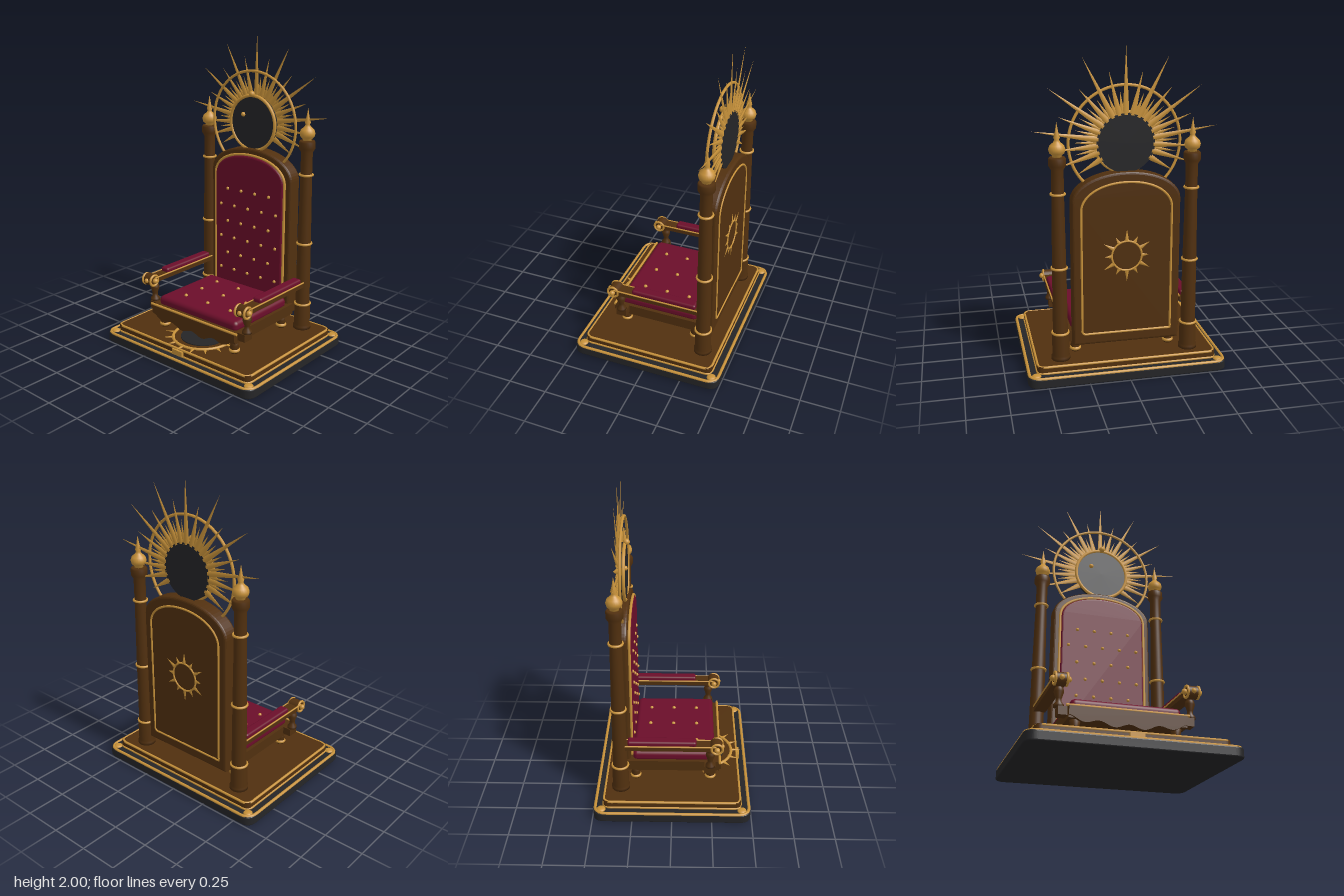
import * as THREE from 'three';
import { RoundedBoxGeometry } from 'three/addons/geometries/RoundedBoxGeometry.js';

export function createModel() {
  const root = new THREE.Group();
  root.name = 'throne';
  const material = (name, color) => {
    const m = new THREE.MeshStandardMaterial({ color });
    m.name = name;
    return m;
  };
  const gold = material('gold', 0xc8923a);
  const wood = material('dark wood', 0x51300f);
  const velvet = material('crimson velvet', 0x6b0e2a);
  const black = material('black stone', 0x252527);

  const add = (name, geo, mat, x = 0, y = 0, z = 0, parent = root) => {
    const m = new THREE.Mesh(geo, mat);
    m.name = name;
    m.position.set(x, y, z);
    parent.add(m);
    return m;
  };
  const lathe = (pts, seg = 24) => new THREE.LatheGeometry(pts.map(p => new THREE.Vector2(p[0], p[1])), seg);
  const ball = r => new THREE.SphereGeometry(r, 16, 12);
  const extrude = (shape, depth, bevel = 0) => new THREE.ExtrudeGeometry(shape, {
    depth: depth - 2 * bevel, bevelEnabled: bevel > 0, bevelSize: bevel, bevelOffset: -bevel,
    bevelThickness: bevel, bevelSegments: 3, curveSegments: 16,
  }).translate(0, 0, bevel);

  // Outline helpers
  const roundRect = (w, h, r) => new THREE.Shape()
    .moveTo(-w + r, -h).lineTo(w - r, -h).quadraticCurveTo(w, -h, w, -h + r)
    .lineTo(w, h - r).quadraticCurveTo(w, h, w - r, h)
    .lineTo(-w + r, h).quadraticCurveTo(-w, h, -w, h - r)
    .lineTo(-w, -h + r).quadraticCurveTo(-w, -h, -w + r, -h);
  const arch = (w, y0, ys, yt) => new THREE.Shape()
    .moveTo(-w, y0).lineTo(w, y0).lineTo(w, ys)
    .bezierCurveTo(w, ys + 0.09, w * 0.6, yt, 0, yt)
    .bezierCurveTo(-w * 0.6, yt, -w, ys + 0.09, -w, ys).lineTo(-w, y0);
  const piping = (shape, r) => {
    const pts = shape.getSpacedPoints(100).slice(0, -1).map(p => new THREE.Vector3(p.x, p.y, 0));
    return new THREE.TubeGeometry(new THREE.CatmullRomCurve3(pts, true), 200, r, 8, true);
  };
  // Flattened spike pointing outwards from the centre, angle measured from up
  const ray = (parent, deg, r0, r1, w, thick = 0.35) => {
    const g = new THREE.ConeGeometry(w, r1 - r0, 6).translate(0, (r0 + r1) / 2, 0).scale(1, 1, thick);
    const m = add('ray', g, gold, 0, 0, 0, parent);
    m.rotation.z = -deg * Math.PI / 180;
  };
  const group = (name, x, y, z) => {
    const g = new THREE.Group();
    g.name = name;
    g.position.set(x, y, z);
    root.add(g);
    return g;
  };

  // Stepped base
  const flat = g => g.rotateX(-Math.PI / 2);
  add('plinth', flat(extrude(roundRect(0.62, 0.495, 0.07), 0.06, 0.008)), black);
  add('plinthTrim', flat(piping(roundRect(0.61, 0.485, 0.07), 0.01)), gold, 0, 0.058);
  add('platform', flat(extrude(roundRect(0.56, 0.435, 0.04), 0.055)), wood, 0, 0.055);
  add('platformLowerTrim', flat(piping(roundRect(0.56, 0.435, 0.04), 0.007)), gold, 0, 0.066);
  add('platformTrim', flat(piping(roundRect(0.555, 0.43, 0.04), 0.008)), gold, 0, 0.105);
  add('frontPlaque', new THREE.BoxGeometry(0.085, 0.035, 0.02), gold, 0, 0.085, 0.44);
  for (const x of [-0.57, 0.57]) for (const z of [-0.445, 0.44])
    add('cornerStud', ball(0.029).scale(1, 0.45, 1), gold, x, 0.06, z);

  // Sun set into the platform
  const floorSun = group('floorSun', 0, 0.112, 0.2);
  floorSun.rotation.x = -Math.PI / 2;
  add('floorDisc', new THREE.CylinderGeometry(0.145, 0.145, 0.008, 40).rotateX(Math.PI / 2), black, 0, 0, 0, floorSun);
  add('floorRing', new THREE.TorusGeometry(0.195, 0.01, 8, 64), gold, 0, 0, 0, floorSun);
  for (let a = 90; a <= 270; a += 22.5) ray(floorSun, a, 0.185, 0.26, 0.016, 0.4);

  // Backrest
  add('backrest', extrude(arch(0.33, 0.2, 1.1, 1.275), 0.1, 0.015), wood, 0, 0, -0.37);
  add('backCushion', extrude(arch(0.28, 0.28, 1.07, 1.225), 0.03, 0.012), velvet, 0, 0, -0.28);
  add('frontPiping', piping(arch(0.287, 0.28, 1.075, 1.232), 0.009), gold, 0, 0, -0.262);
  add('rearPiping', piping(arch(0.275, 0.27, 1.05, 1.215), 0.007), gold, 0, 0, -0.37);
  for (let row = 0; row < 6; row++) {
    const n = row % 2 ? 4 : 5;
    for (let i = 0; i < n; i++)
      add('backButton', ball(0.011), gold, (i - (n - 1) / 2) * 0.115, 0.41 + row * 0.114, -0.25);
  }
  const rearSun = group('rearSun', 0, 0.76, -0.371);
  add('rearSunRing', new THREE.TorusGeometry(0.092, 0.006, 8, 40), gold, 0, 0, 0, rearSun);
  for (let i = 0; i < 12; i++) ray(rearSun, i * 30, 0.09, i % 2 ? 0.135 : 0.165, 0.015, 0.4);

  // Radiant crest
  const crest = group('crest', 0, 1.44, -0.33);
  add('crestDisc', new THREE.CylinderGeometry(0.175, 0.175, 0.045, 48).rotateX(Math.PI / 2), black, 0, 0, 0.017, crest);
  add('crestRim', new THREE.TorusGeometry(0.178, 0.011, 10, 64), gold, 0, 0, 0.036, crest);
  add('halo', new THREE.TorusGeometry(0.335, 0.009, 8, 80), gold, 0, 0, 0.028, crest);
  add('crestStud', ball(0.015), gold, -0.074, 0.05, 0.042, crest);
  add('crestBead', ball(0.02), gold, 0, 0.19, 0.048, crest);
  for (let i = -9; i <= 9; i++) {
    const k = Math.abs(i);
    ray(crest, i * 13.5, 0.165, k > 8 ? 0.34 : k % 2 || k > 6 ? 0.43 : 0.56, 0.022);
    if (k < 8) ray(crest, (i + (i < 0 ? -0.5 : 0.5)) * 13.5, 0.165, 0.31, 0.016);
  }

  // Seat
  add('seatFrame', new THREE.BoxGeometry(0.7, 0.07, 0.6), wood, 0, 0.235, 0);
  add('seatFrontTrim', new THREE.CylinderGeometry(0.008, 0.008, 0.73, 10).rotateZ(Math.PI / 2), gold, 0, 0.27, 0.303);
  add('seatCushion', new RoundedBoxGeometry(0.66, 0.07, 0.525, 5, 0.028), velvet, 0, 0.29, 0.008);
  for (const x of [-0.19, 0, 0.19]) for (const z of [-0.155, 0, 0.155])
    add('seatButton', ball(0.012), gold, x, 0.326, z);
  const apron = new THREE.Shape().moveTo(0.35, 0.265).lineTo(-0.35, 0.265);
  for (let i = 0; i <= 60; i++) {
    const x = -0.35 + i * 0.7 / 60;
    apron.lineTo(x, 0.172 + 0.012 * Math.cos(x * 36) + 0.25 * x * x);
  }
  add('apron', extrude(apron, 0.022), wood, 0, 0, 0.29);

  // Mirrored legs, columns and arms
  const leg = lathe([[0, 0], [0.022, 0], [0.03, 0.05], [0.024, 0.06], [0.034, 0.11], [0, 0.11]]);
  const column = lathe([[0, 0.11], [0.058, 0.11], [0.058, 0.13], [0.052, 0.14], [0.052, 0.27], [0.046, 0.29],
    [0.043, 0.7], [0.037, 1.15], [0.037, 1.3], [0.052, 1.325], [0.052, 1.365], [0.045, 1.375], [0, 1.375]], 28);
  const finial = lathe([[0, 0], [0.03, 0], [0.026, 0.012], [0.044, 0.028], [0.05, 0.05], [0.042, 0.073],
    [0.02, 0.092], [0.014, 0.105], [0.019, 0.118], [0.01, 0.15], [0, 0.21]]);
  const baluster = lathe([[0, 0], [0.03, 0], [0.03, 0.015], [0.018, 0.03], [0.017, 0.05], [0.03, 0.09],
    [0.026, 0.11], [0.018, 0.12], [0.028, 0.14], [0, 0.14]]);
  for (const s of [-1, 1]) {
    for (const z of [-0.24, 0.245]) {
      add('leg', leg, wood, s * 0.3, 0.1, z);
      add('footBall', ball(0.036).scale(1, 0.5, 1), gold, s * 0.3, 0.13, z);
    }
    const cx = s * 0.405, cz = -0.33;
    add('column', column, wood, cx, 0, cz);
    add('finial', finial, gold, cx, 1.37, cz);
    for (const [y, r] of [[0.283, 0.049], [0.7, 0.045], [1.155, 0.041]])
      add('columnBand', new THREE.TorusGeometry(r, 0.008, 8, 28).rotateX(Math.PI / 2), gold, cx, y, cz);

    const ax = s * 0.395;
    add('armrest', new THREE.BoxGeometry(0.075, 0.034, 0.57), wood, ax, 0.425, -0.01);
    add('armPad', new RoundedBoxGeometry(0.064, 0.036, 0.43, 4, 0.014), velvet, ax, 0.452, -0.065);
    for (const e of [-1, 1])
      add('armTrim', new THREE.CylinderGeometry(0.005, 0.005, 0.57, 8).rotateX(Math.PI / 2), gold, ax + e * 0.038, 0.441, -0.01);
    add('armPost', baluster, wood, ax, 0.27, 0.24);
    add('postFoot', new THREE.BoxGeometry(0.07, 0.05, 0.07), wood, s * 0.37, 0.245, 0.24);
    add('armScroll', new THREE.CylinderGeometry(0.04, 0.04, 0.07, 24).rotateZ(Math.PI / 2), wood, ax, 0.425, 0.275);
    for (const e of [-1, 1]) {
      add('scrollRing', new THREE.TorusGeometry(0.035, 0.008, 8, 24).rotateY(Math.PI / 2), gold, ax + e * 0.035, 0.425, 0.28);
      add('scrollBead', ball(0.018), gold, ax + e * 0.046, 0.425, 0.28);
    }
    add('scrollFrontBead', ball(0.016), gold, ax, 0.425, 0.312);
  }
  return root;
}
